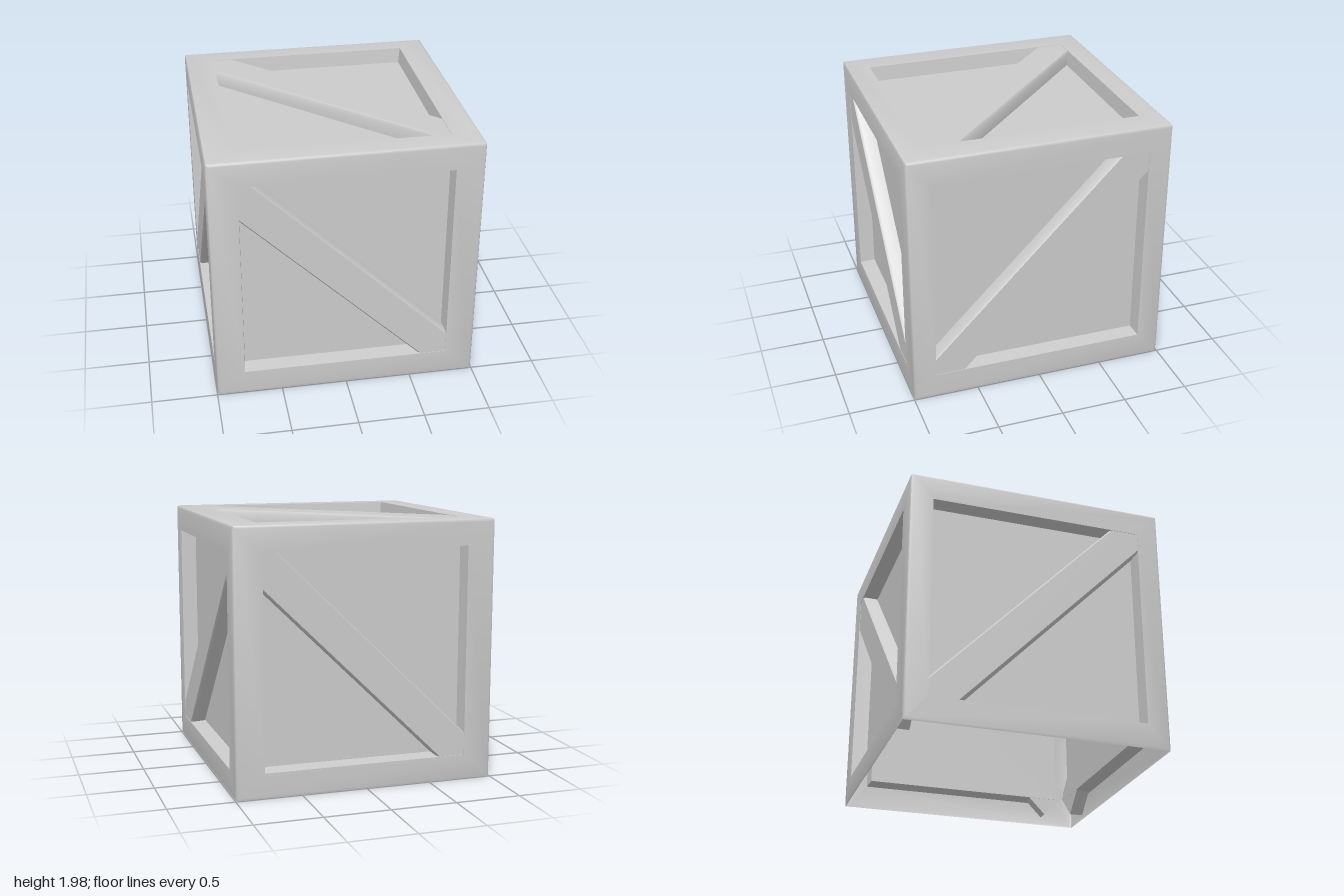
import * as THREE from 'three';
import { mergeGeometries, toCreasedNormals } from 'three/addons/utils/BufferGeometryUtils.js';

const H = 0.995;      // half height of the crate
const DEPTH = 0.12;   // recess depth
const BEVEL = 0.025;  // softened outer edges
const TAPER = 0.012;  // slight draft of the recess walls

// Rectangular loop, counter-clockwise seen from outside
const rect = (w, h, z) => [[-w, -h, z], [w, -h, z], [w, h, z], [-w, h, z]];

// One side of the frame: softened edge, flat border, recess walls
function frameSide({ w, h, d, ow, oh }) {
  const k = BEVEL * 0.3;
  const loops = [
    rect(w - k, h - k, d - k),
    rect(w - BEVEL, h - BEVEL, d),
    rect(ow, oh, d),
    rect(ow - TAPER, oh - TAPER, d - DEPTH),
  ];
  const pos = [];
  for (let l = 0; l < loops.length - 1; l++) {
    for (let i = 0; i < 4; i++) {
      const j = (i + 1) % 4;
      const a = loops[l][i], b = loops[l][j], c = loops[l + 1][j], e = loops[l + 1][i];
      pos.push(...a, ...b, ...c, ...a, ...c, ...e);
    }
  }
  const g = new THREE.BufferGeometry();
  g.setAttribute('position', new THREE.Float32BufferAttribute(pos, 3));
  return g;
}

// Diagonal board with tapered sides, its ends tucked behind the border
function braceGeometry() {
  const s = new THREE.Shape();
  s.moveTo(-0.139, -DEPTH);
  s.lineTo(0.139, -DEPTH);
  s.lineTo(0.137, -0.022);
  s.lineTo(0.125, -0.005);
  s.lineTo(-0.125, -0.005);
  s.lineTo(-0.137, -0.022);
  s.closePath();
  const g = new THREE.ExtrudeGeometry(s, { depth: 2.3, bevelEnabled: false });
  g.translate(0, 0, -1.15);
  // length along local x, thickness along local z
  g.applyMatrix4(new THREE.Matrix4().makeBasis(
    new THREE.Vector3(0, 1, 0), new THREE.Vector3(0, 0, 1), new THREE.Vector3(1, 0, 0)));
  return toCreasedNormals(g, 0.9);
}

export function createModel() {
  const crate = new THREE.Group();
  crate.name = 'crate';
  const material = new THREE.MeshStandardMaterial({ color: 0xcccccc, side: THREE.DoubleSide });

  const front = { w: 1, h: H, d: 1, ow: 0.782, oh: 0.797, angle: -0.773, shift: -0.05 };
  const side = { w: 1, h: H, d: 1, ow: 0.823, oh: 0.797, angle: 0.795, shift: -0.005 };
  const top = { w: 1, h: 1, d: H, ow: 0.782, oh: 0.823, angle: -0.773, shift: 0.03 };
  // The underside is left open
  const sides = [
    ['front', front, 0, 0],
    ['left', side, 0, Math.PI / 2],
    ['back', front, 0, Math.PI],
    ['right', side, 0, -Math.PI / 2],
    ['top', top, -Math.PI / 2, 0],
  ];

  const brace = braceGeometry();
  const borders = [];
  for (const [name, f, rx, ry] of sides) {
    const face = new THREE.Group();
    face.name = name + 'Side';
    face.rotation.set(rx, ry, 0);
    face.position.y = H;
    face.updateMatrix();
    borders.push(frameSide(f).applyMatrix4(face.matrix));

    const panel = new THREE.Mesh(
      new THREE.PlaneGeometry(2 * (f.ow - TAPER), 2 * (f.oh - TAPER)), material);
    panel.name = name + 'Panel';
    panel.position.z = f.d - DEPTH;

    const board = new THREE.Mesh(brace, material);
    board.name = name + 'Brace';
    board.position.set(0, f.shift, f.d + 0.002);
    board.rotation.z = f.angle;

    face.add(panel, board);
    crate.add(face);
  }

  // All borders joined so the outer edges shade smoothly
  const frame = new THREE.Mesh(toCreasedNormals(mergeGeometries(borders), 0.85), material);
  frame.name = 'frame';
  crate.add(frame);
  return crate;
}
